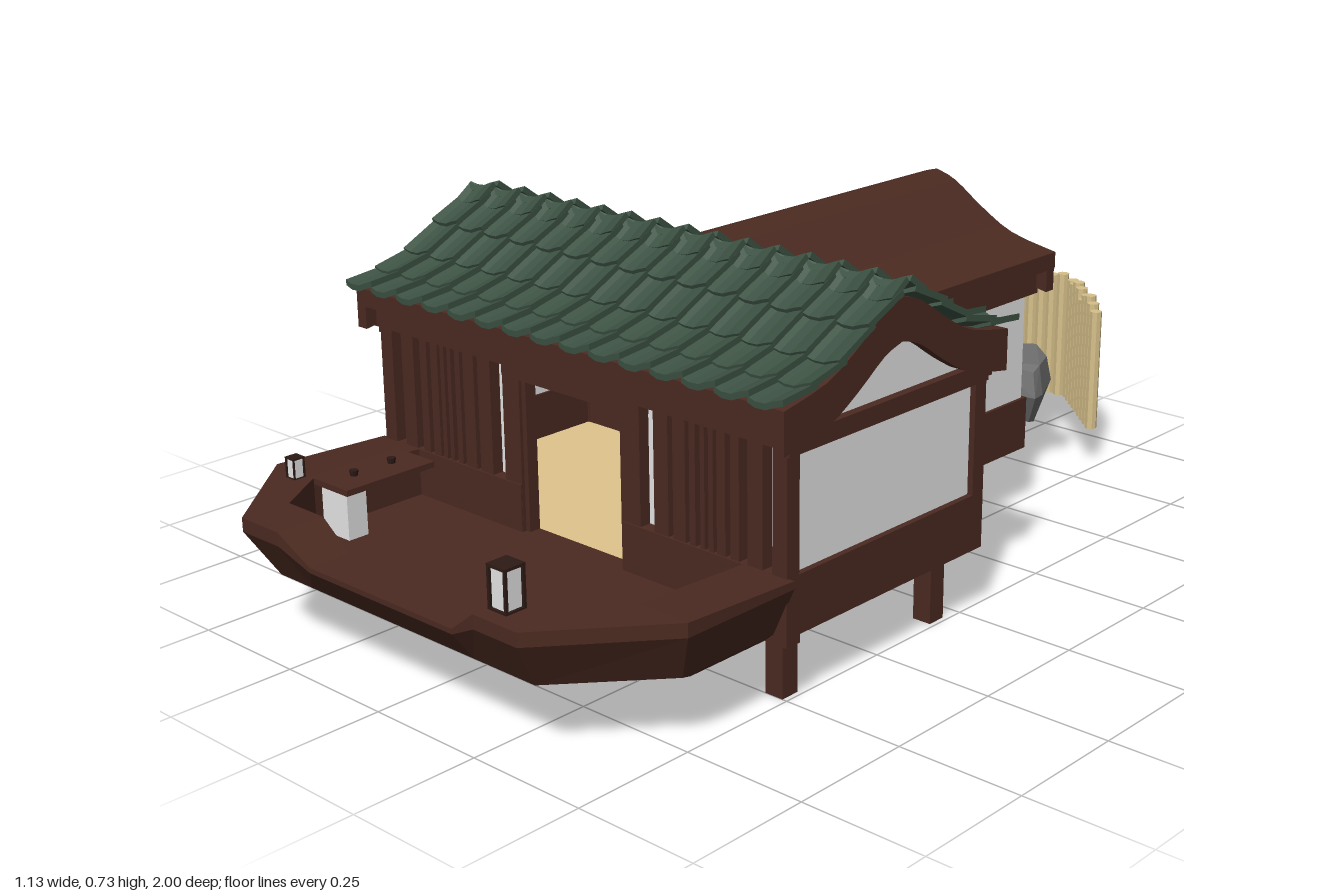
import * as THREE from 'three';
import { ConvexGeometry } from 'three/addons/geometries/ConvexGeometry.js';

const mat = (name, color) => {
  const m = new THREE.MeshStandardMaterial({ color, flatShading: true, side: THREE.DoubleSide });
  m.name = name;
  return m;
};

export function createModel() {
  const M = {
    wood: mat('brown wood', 0x4b2a21),
    dark: mat('dark wood', 0x2c1a15),
    plaster: mat('white plaster', 0xe6e6e6),
    tile: mat('green tile', 0x3d5344),
    straw: mat('straw mat', 0xe0c48c),
    bamboo: mat('bamboo', 0xd6c08a),
    stone: mat('grey stone', 0x707070),
  };
  const root = new THREE.Group();
  const group = (name, parent = root) => {
    const g = new THREE.Group();
    g.name = name;
    parent.add(g);
    return g;
  };
  const add = (name, geo, material, parent = root) => {
    const m = new THREE.Mesh(geo, material);
    m.name = name;
    parent.add(m);
    return m;
  };
  // Box given by its limits on each axis
  const box = (name, x0, x1, y0, y1, z0, z1, material, parent) => {
    const m = add(name, new THREE.BoxGeometry(x1 - x0, y1 - y0, z1 - z0), material, parent);
    m.position.set((x0 + x1) / 2, (y0 + y1) / 2, (z0 + z1) / 2);
    return m;
  };

  const house = group('house');
  const RIDGE_Z = 0.26;

  // Floors
  box('hallUnderside', -0.525, 0.525, 0.136, 0.145, -0.018, 0.53, M.plaster, house);
  box('wingUnderside', -0.268, 0.268, 0.136, 0.145, -0.515, -0.018, M.plaster, house);
  box('hallMat', -0.51, 0.51, 0.145, 0.153, 0, 0.52, M.straw, house);
  box('wingMat', -0.26, 0.26, 0.145, 0.153, -0.5, 0, M.straw, house);

  // Walls, base boards and beams mirrored left and right
  for (const s of [-1, 1]) {
    const mbox = (name, a, b, ...rest) => box(name, Math.min(s * a, s * b), Math.max(s * a, s * b), ...rest, house);
    mbox('hallSideBase', 0.5, 0.53, 0.138, 0.25, -0.02, 0.535, M.wood);
    mbox('hallSideWall', 0.505, 0.518, 0.25, 0.48, 0, 0.51, M.plaster);
    mbox('hallSideBeam', 0.5, 0.535, 0.47, 0.505, -0.02, 0.535, M.wood);
    for (const z of [-0.02, 0.503]) mbox('cornerPost', 0.497, 0.53, 0.138, 0.53, z, z + 0.032, M.wood);
    mbox('frontWall', 0.135, 0.51, 0.2, 0.49, 0.498, 0.508, M.plaster);
    mbox('frontBase', 0.135, 0.53, 0.122, 0.25, 0.5, 0.535, M.wood);
    mbox('rearWall', 0.26, 0.51, 0.25, 0.49, -0.012, 0, M.plaster);
    mbox('rearBase', 0.26, 0.53, 0.138, 0.25, -0.02, 0.01, M.wood);
    mbox('rearBeam', 0.26, 0.535, 0.478, 0.54, -0.03, 0.01, M.wood);
    mbox('wingSideBase', 0.245, 0.275, 0.138, 0.25, -0.52, 0, M.wood);
    mbox('wingSideWall', 0.255, 0.268, 0.25, 0.5, -0.51, 0, M.plaster);
    mbox('wingSideBeam', 0.25, 0.285, 0.478, 0.54, -0.53, 0, M.wood);
    mbox('wingRearWall', 0.13, 0.268, 0.25, 0.49, -0.51, -0.5, M.plaster);
    mbox('wingRearBase', 0.135, 0.275, 0.138, 0.25, -0.52, -0.49, M.wood);
    mbox('rearDoorPost', 0.13, 0.155, 0.138, 0.49, -0.522, -0.49, M.wood);
    mbox('frontDoorFrame', 0.124, 0.137, 0.15, 0.47, 0.5, 0.525, M.wood);
    // Front window slats: [centre, width]
    for (const [x, w] of [[0.455, 0.035], [0.408, 0.02], [0.376, 0.02], [0.352, 0.011], [0.332, 0.01],
      [0.308, 0.014], [0.276, 0.03], [0.232, 0.035], [0.157, 0.045]])
      mbox('frontSlat', x - w / 2, x + w / 2, 0.152, 0.49, 0.5, 0.532, M.wood);
    // Stilts
    for (const [x, z] of [[0.47, 0.48], [0.16, 0.48], [0.47, 0.06], [0.215, 0.06]])
      mbox('stilt', x - 0.02, x + 0.02, 0, 0.14, z - 0.02, z + 0.02, M.wood);
  }
  box('frontSill', -0.135, 0.135, 0.122, 0.155, 0.5, 0.535, M.wood, house);
  box('frontLintel', -0.18, 0.18, 0.458, 0.49, 0.495, 0.533, M.wood, house);
  box('frontBeam', -0.535, 0.535, 0.485, 0.54, 0.495, 0.545, M.wood, house);
  box('rearSill', -0.135, 0.135, 0.138, 0.155, -0.52, -0.49, M.wood, house);
  box('wingRearBeam', -0.285, 0.285, 0.478, 0.505, -0.53, -0.49, M.wood, house);

  // Rear lattice door with plain lower panels
  const door = group('rearLatticeDoor', house);
  box('doorPaper', -0.13, 0.13, 0.15, 0.48, -0.507, -0.503, M.plaster, door);
  for (let i = 0; i <= 12; i++) {
    const x = -0.126 + i * 0.021, stile = i % 6 === 0, w = stile ? 0.006 : 0.0025;
    box('doorUpright', x - w, x + w, stile ? 0.15 : 0.24, 0.465, -0.514, -0.496, M.wood, door);
  }
  for (const [y, w] of [[0.16, 0.006], [0.2, 0.004], [0.24, 0.006], [0.27, 0.004], [0.305, 0.004], [0.345, 0.004],
    [0.385, 0.004], [0.41, 0.002], [0.435, 0.002], [0.458, 0.006]])
    box('doorRail', -0.13, 0.13, y - w, y + w, -0.513, -0.497, M.wood, door);
  box('doorPull', -0.009, -0.002, 0.21, 0.37, -0.497, -0.493, M.straw, door);

  // Swept roof profile: distance from ridge, height
  const slope = new THREE.SplineCurve([[0, 0.693], [0.05, 0.676], [0.12, 0.63], [0.2, 0.588], [0.31, 0.565]]
    .map(p => new THREE.Vector2(...p))).getPoints(12);
  const heightAt = u => {
    let i = 1;
    while (i < slope.length - 1 && slope[i].x < u) i++;
    const a = slope[i - 1], b = slope[i];
    return a.y + (b.y - a.y) * (u - a.x) / (b.x - a.x);
  };
  const top = [...slope.slice(1).reverse().map(p => new THREE.Vector2(-p.x, p.y)), ...slope];
  const roofBand = (thick, depth) => new THREE.ExtrudeGeometry(
    new THREE.Shape([...top, ...top.map(p => new THREE.Vector2(p.x, p.y - thick)).reverse()]),
    { depth, bevelEnabled: false });
  const gablePanel = () => {
    const pts = top.filter(p => Math.abs(p.x) < 0.28).map(p => new THREE.Vector2(p.x, p.y - 0.02));
    return new THREE.ExtrudeGeometry(
      new THREE.Shape([...pts, new THREE.Vector2(0.26, 0.48), new THREE.Vector2(-0.26, 0.48)]),
      { depth: 0.01, bevelEnabled: false });
  };
  const alongX = (geo, x) => geo.rotateY(Math.PI / 2).translate(x, 0, RIDGE_Z);

  const roof = group('roof');
  add('hallRoof', alongX(roofBand(0.035, 1.1), -0.55), M.wood, roof);
  add('wingRoof', roofBand(0.035, 0.79).translate(0, 0, -0.553), M.wood, roof);
  for (const x of [-0.553, 0.528]) add('hallBargeboard', alongX(roofBand(0.08, 0.025), x), M.wood, roof);
  for (const x of [-0.518, 0.508]) add('hallGable', alongX(gablePanel(), x), M.plaster, roof);
  add('wingBargeboard', roofBand(0.08, 0.025).translate(0, 0, -0.55), M.wood, roof);
  add('wingGable', gablePanel().translate(0, 0, -0.512), M.plaster, roof);

  // Overlapping S-curved tiles, left out where the wing roof joins
  const tiles = group('roofTiles', roof);
  const edges = [0.02, 0.095, 0.17, 0.245, 0.318], COLS = 15, PITCH = 1.125 / COLS;
  const wave = [[-0.52, 0], [-0.3, -0.006], [0, -0.005], [0.28, 0.004], [0.54, 0.011]]
    .map(([x, y]) => new THREE.Vector2(x * PITCH, y));
  const tileGeo = len => new THREE.ExtrudeGeometry(
    new THREE.Shape([...wave, ...wave.map(p => new THREE.Vector2(p.x, p.y - 0.012)).reverse()]),
    { depth: len, bevelEnabled: false }).translate(0, 0.006, -len / 2);
  for (let c = 0; c < COLS; c++) {
    const x = PITCH * (c - (COLS - 1) / 2);
    for (const s of [-1, 1]) {
      const ridge = add('ridgeTile', tileGeo(0.05), M.tile, tiles);
      ridge.position.set(x, 0.702, RIDGE_Z + s * 0.017);
      ridge.rotation.set(s * 0.62, 0, 0.06);
      if (s < 0 && Math.abs(x) < 0.19) continue;
      for (let r = 0; r < 4; r++) {
        const u0 = edges[r], u1 = edges[r + 1], u = (u0 + u1) / 2;
        const drop = heightAt(u0) - heightAt(u1), len = Math.hypot(u1 - u0, drop) + 0.014;
        const t = add('roofTile', tileGeo(len), M.tile, tiles);
        t.position.set(x, (heightAt(u0) + heightAt(u1)) / 2 + 0.01, RIDGE_Z + s * u);
        t.rotation.x = s * (Math.atan2(drop, u1 - u0) - 0.08);
      }
    }
  }

  // Boat-shaped porch, lofted through rings from keel over the rim to the sunken deck
  const porch = group('porch');
  const half = [
    [[0.48, 0.122, 0.53], [0.48, 0.122, 0.72], [0.33, 0.122, 0.89], [0.25, 0.122, 0.89], [0.19, 0.122, 0.89]],
    [[0.5, 0.14, 0.53], [0.5, 0.14, 0.76], [0.34, 0.14, 0.94], [0.25, 0.14, 0.94], [0.19, 0.14, 0.94]],
    [[0.543, 0.235, 0.53], [0.543, 0.235, 0.79], [0.365, 0.235, 0.998], [0.26, 0.235, 0.998], [0.19, 0.2, 0.985]],
    [[0.543, 0.25, 0.53], [0.543, 0.262, 0.79], [0.365, 0.262, 0.998], [0.26, 0.262, 0.998], [0.19, 0.21, 0.985]],
    [[0.43, 0.25, 0.53], [0.43, 0.262, 0.79], [0.36, 0.262, 0.898], [0.26, 0.262, 0.898], [0.19, 0.21, 0.898]],
    [[0.43, 0.155, 0.53], [0.43, 0.155, 0.79], [0.36, 0.155, 0.897], [0.26, 0.155, 0.897], [0.19, 0.155, 0.897]],
  ];
  const rings = half.map(h => [...h, ...h.map(([x, y, z]) => [-x, y, z]).reverse()]);
  const verts = [];
  for (let r = 0; r < rings.length - 1; r++)
    for (let i = 0; i < rings[r].length - 1; i++) {
      const [a, a1, b, b1] = [rings[r][i], rings[r][i + 1], rings[r + 1][i], rings[r + 1][i + 1]];
      verts.push(...a, ...b, ...a1, ...a1, ...b, ...b1);
    }
  const fan = (ring, up) => {
    const c = [0, ring[0][1], 0.53];
    for (let i = 0; i < ring.length - 1; i++)
      verts.push(...(up ? ring[i + 1] : ring[i]), ...(up ? ring[i] : ring[i + 1]), ...c);
  };
  fan(rings[0], false);
  fan(rings[rings.length - 1], true);
  const hull = new THREE.BufferGeometry();
  hull.setAttribute('position', new THREE.Float32BufferAttribute(verts, 3));
  hull.computeVertexNormals();
  add('hull', hull, M.wood, porch);

  // Low table with two cups
  const table = group('table', porch);
  box('tableTop', -0.44, -0.33, 0.25, 0.262, 0.58, 0.79, M.wood, table);
  box('tableBody', -0.42, -0.345, 0.155, 0.25, 0.735, 0.78, M.plaster, table);
  for (const z of [0.64, 0.73]) {
    const cup = add('cup', new THREE.CylinderGeometry(0.009, 0.007, 0.012, 8), M.dark, table);
    cup.position.set(-0.385, 0.267, z);
  }

  // Framed lanterns on the rim
  const lantern = (x, z, w, h) => {
    const g = group('lantern', porch), y = 0.26, t = w * 0.12, k = w / 2;
    box('lanternPaper', x - k + t, x + k - t, y, y + h - t, z - k + t, z + k - t, M.plaster, g);
    for (const yy of [y, y + h - t]) box('lanternCap', x - k, x + k, yy, yy + t, z - k, z + k, M.dark, g);
    for (const sx of [-1, 1]) for (const sz of [-1, 1]) {
      const px = x + sx * (k - t / 2), pz = z + sz * (k - t / 2);
      box('lanternPost', px - t / 2, px + t / 2, y, y + h, pz - t / 2, pz + t / 2, M.dark, g);
    }
  };
  lantern(0.285, 0.945, 0.045, 0.083);
  lantern(-0.46, 0.808, 0.026, 0.043);

  // Bamboo screen behind the house
  const fence = group('bambooScreen');
  const corners = [[-0.23, -0.84], [-0.07, -0.987], [0.07, -0.987], [0.23, -0.84]];
  [8, 5, 8].forEach((n, k) => {
    for (let i = k ? 1 : 0; i <= n; i++) {
      const f = i / n, [x0, z0] = corners[k], [x1, z1] = corners[k + 1];
      const h = 0.266 + 0.026 * Math.abs(Math.sin(i * 2.3 + k * 1.7));
      const p = add('bambooPole', new THREE.CylinderGeometry(0.0135, 0.0135, h, 8), M.bamboo, fence);
      p.position.set(x0 + (x1 - x0) * f, 0.087 + h / 2, z0 + (z1 - z0) * f);
    }
  });

  // Stone basin with a small spout
  const basin = group('stoneBasin');
  const outline = [[-0.08, -0.93], [0.01, -0.948], [0.075, -0.905], [0.125, -0.8], [0.13, -0.765],
    [0, -0.747], [-0.05, -0.785], [-0.085, -0.87]];
  const pts = outline.flatMap(([x, z], i) => [[0.7, 0.075 + (i % 3) * 0.006], [1, 0.15], [0.85, 0.205 + (i % 2) * 0.01]]
    .map(([k, y]) => new THREE.Vector3(0.02 + (x - 0.02) * k, y, -0.85 + (z + 0.85) * k)));
  add('rock', new ConvexGeometry(pts), M.stone, basin);
  box('basinBowl', -0.02, 0.03, 0.2, 0.226, -0.85, -0.805, M.stone, basin);
  box('spout', 0.001, 0.009, 0.22, 0.31, -0.816, -0.808, M.bamboo, basin);

  return root;
}
